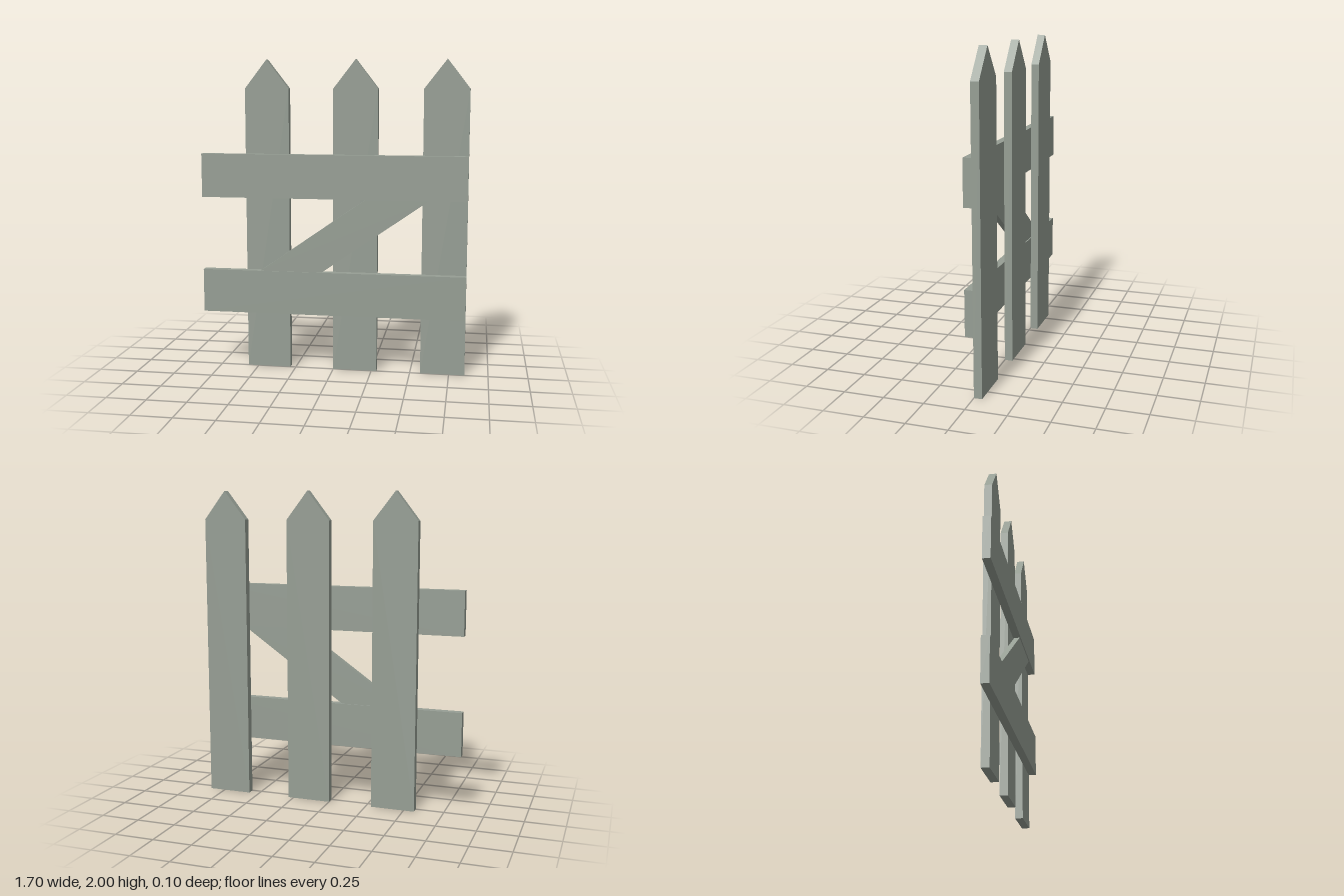
import * as THREE from 'three';

const weatheredWood = new THREE.MeshStandardMaterial({ color: 0x969e94 });
weatheredWood.name = 'weatheredWood';

// Flat board cut from an outline, spanning z0 to z1
function board(name, outline, z0, z1) {
  const shape = new THREE.Shape(outline.map(([x, y]) => new THREE.Vector2(x, y)));
  const geometry = new THREE.ExtrudeGeometry(shape, { depth: z1 - z0, bevelEnabled: false });
  geometry.translate(0, 0, z0);
  const mesh = new THREE.Mesh(geometry, weatheredWood);
  mesh.name = name;
  return mesh;
}

export function createModel() {
  const fence = new THREE.Group();
  fence.name = 'picketFence';

  // Three pointed pickets at the back
  const half = 0.1415;
  [-0.427, 0.1415, 0.7085].forEach((x, i) => {
    fence.add(board(`picket${i + 1}`, [
      [x - half, 0], [x + half, 0], [x + half, 1.818], [x, 2], [x - half, 1.818],
    ], -0.05, 0));
  });

  // Two rails across the front, overhanging on one side
  for (const [name, y0, y1] of [['lowerRail', 0.37, 0.65], ['upperRail', 1.125, 1.405]]) {
    fence.add(board(name, [[-0.85, y0], [0.85, y0], [0.85, y1], [-0.85, y1]], 0, 0.05));
  }

  // Diagonal brace, slightly thinner than the rails
  fence.add(board('diagonalBrace', [
    [-0.47, 0.65], [-0.07, 0.65], [0.61, 1.125], [0.21, 1.125],
  ], 0.007, 0.043));

  return fence;
}
